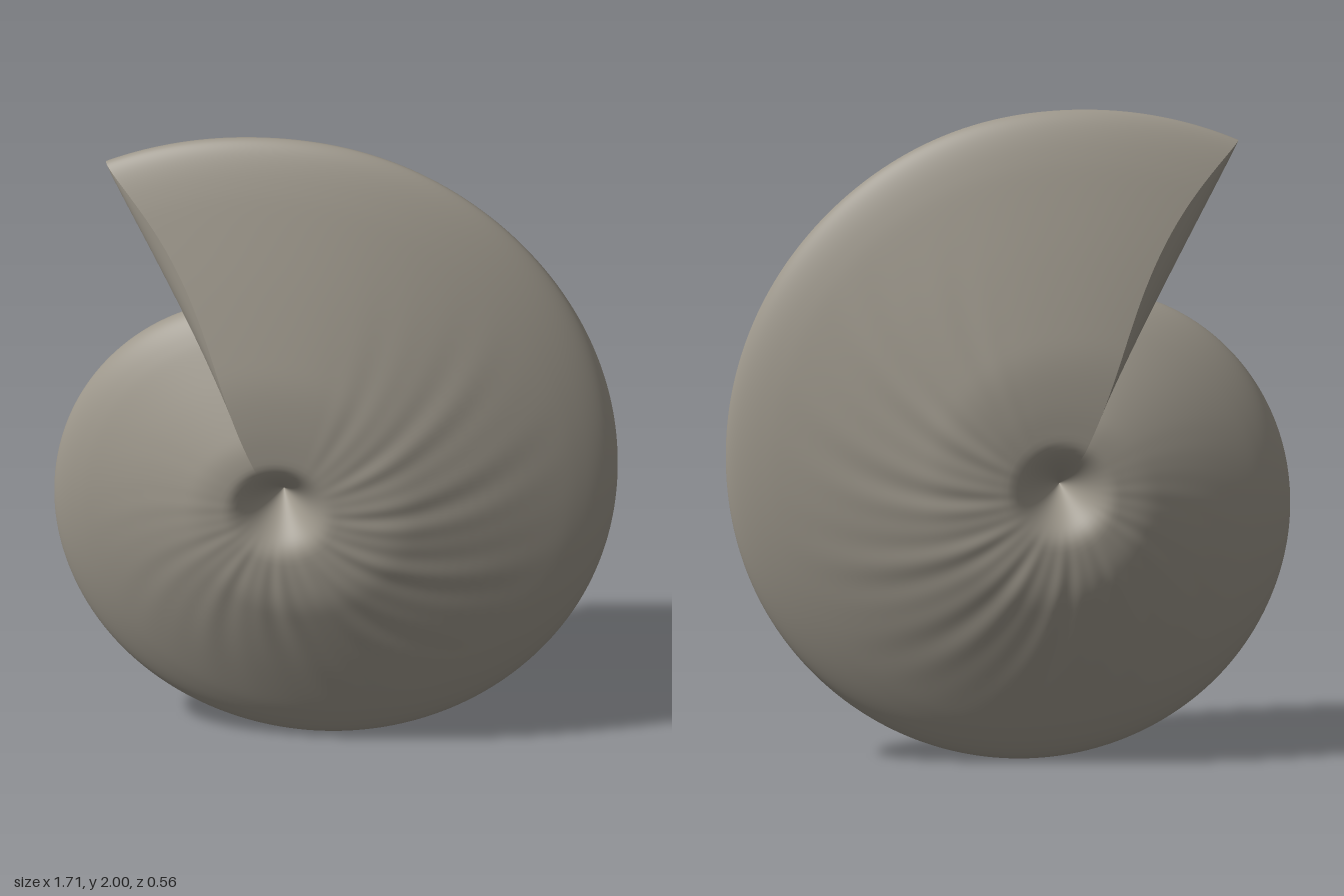
import * as THREE from 'three';

// Outer radius by growth angle in degrees, from the inner coil out to the lip
const GROWTH = [
  [-390, 0.43], [-345, 0.475], [-300, 0.53], [-243, 0.61], [-205, 0.663], [-176, 0.706],
  [-150, 0.75], [-123, 0.803], [-83, 0.88], [-54, 0.93], [-25, 0.972], [6, 1.008],
  [41, 1.06], [72, 1.11], [95, 1.135], [118, 1.168],
];
// Half cross-section: fraction of the outer radius, half width
const SECTION = [
  [0, 0.275], [0.04, 0.276], [0.09, 0.278], [0.15, 0.28], [0.25, 0.28], [0.36, 0.268],
  [0.47, 0.238], [0.646, 0.18], [0.82, 0.116], [0.9, 0.082], [0.955, 0.052], [0.988, 0.025],
];
const AXIS = new THREE.Vector2(-0.15, 0.869);
const LIP = 118;
const LIP_RADIUS = 1.168;
const smooth = THREE.MathUtils.smoothstep;

// Point on the shell from fraction of radius, radius, angle in radians and z
const polar = (f, radius, a, z) =>
  [AXIS.x + f * radius * Math.cos(a), AXIS.y + f * radius * Math.sin(a), z];

// Angle by which the lip is drawn back in a shallow curve on both flanks
const bow = f => f > 0.12 ? 0.097 * Math.sin(Math.PI * (f - 0.12) / 0.88) : 0;

// Sunken centre on both flanks
const sink = r => 0.38 + 0.62 * Math.sin(Math.min(r / 0.17, 1) * Math.PI / 2);

// Fine curved wrinkles, strongest on the middle of the flank
function wrinkle(deg, f) {
  const a = THREE.MathUtils.degToRad(deg) - 0.5 * f * f;
  const fade = smooth(f, 0.12, 0.35) * (1 - smooth(f, 0.5, 0.9));
  const zone = smooth(deg, -230, -40) * (1 - smooth(deg, 30, 80));
  return 0.0018 * fade * zone * (Math.sin(19 * a) + 0.7 * Math.sin(31 * a + 1));
}

// Grid surface from a function of two parameters in 0..1
function gridGeometry(rows, cols, point) {
  const pos = [], index = [];
  for (let i = 0; i <= rows; i++) {
    for (let j = 0; j <= cols; j++) {
      pos.push(...point(i / rows, j / cols));
      if (i < rows && j < cols) {
        const p = i * (cols + 1) + j, q = p + cols + 1;
        index.push(p, p + 1, q, q, p + 1, q + 1);
      }
    }
  }
  const geo = new THREE.BufferGeometry();
  geo.setAttribute('position', new THREE.Float32BufferAttribute(pos, 3));
  geo.setIndex(index);
  geo.computeVertexNormals();
  return geo;
}

export function createModel() {
  const model = new THREE.Group();
  model.name = 'spiralShell';
  const material = new THREE.MeshStandardMaterial({ color: 0x9e988c, side: THREE.DoubleSide });
  const add = (geometry, name) => {
    const mesh = new THREE.Mesh(geometry, material);
    mesh.name = name;
    model.add(mesh);
  };

  const growth = new THREE.SplineCurve(GROWTH.map(p => new THREE.Vector2(...p)));
  const half = SECTION.map(p => new THREE.Vector2(...p));
  const section = new THREE.SplineCurve([
    ...half, new THREE.Vector2(1, 0),
    ...half.map(p => new THREE.Vector2(p.x, -p.y)).reverse(),
  ]);

  // Coiled wall, front flank over the keel to the back flank
  add(gridGeometry(360, 120, (u, v) => {
    const g = growth.getPoint(u), s = section.getPoint(v);
    const f = Math.max(s.x, 0.001);
    // The hidden inner coil narrows so that it stays under the outer one
    const narrow = 0.75 + 0.22 * smooth(g.x, -390, -235) + 0.03 * smooth(g.x, -235, LIP);
    const z = s.y * narrow * sink(f * g.y) + Math.sign(s.y) * wrinkle(g.x, f);
    const a = THREE.MathUtils.degToRad(g.x) - bow(f) * smooth(g.x, 70, LIP);
    return polar(f, g.y, a, z);
  }), 'coiledShell');

  // Wall across the mouth, straight in the middle and curving back to the lips
  add(gridGeometry(60, 32, (u, v) => {
    const s = section.getPoint(u / 2);
    const f = Math.max(s.x, 0.001), across = 1 - 2 * v;
    const a = THREE.MathUtils.degToRad(LIP) - bow(f) * across ** 4;
    return polar(f, LIP_RADIUS, a, across * s.y * sink(f * LIP_RADIUS));
  }), 'mouthWall');
  return model;
}
